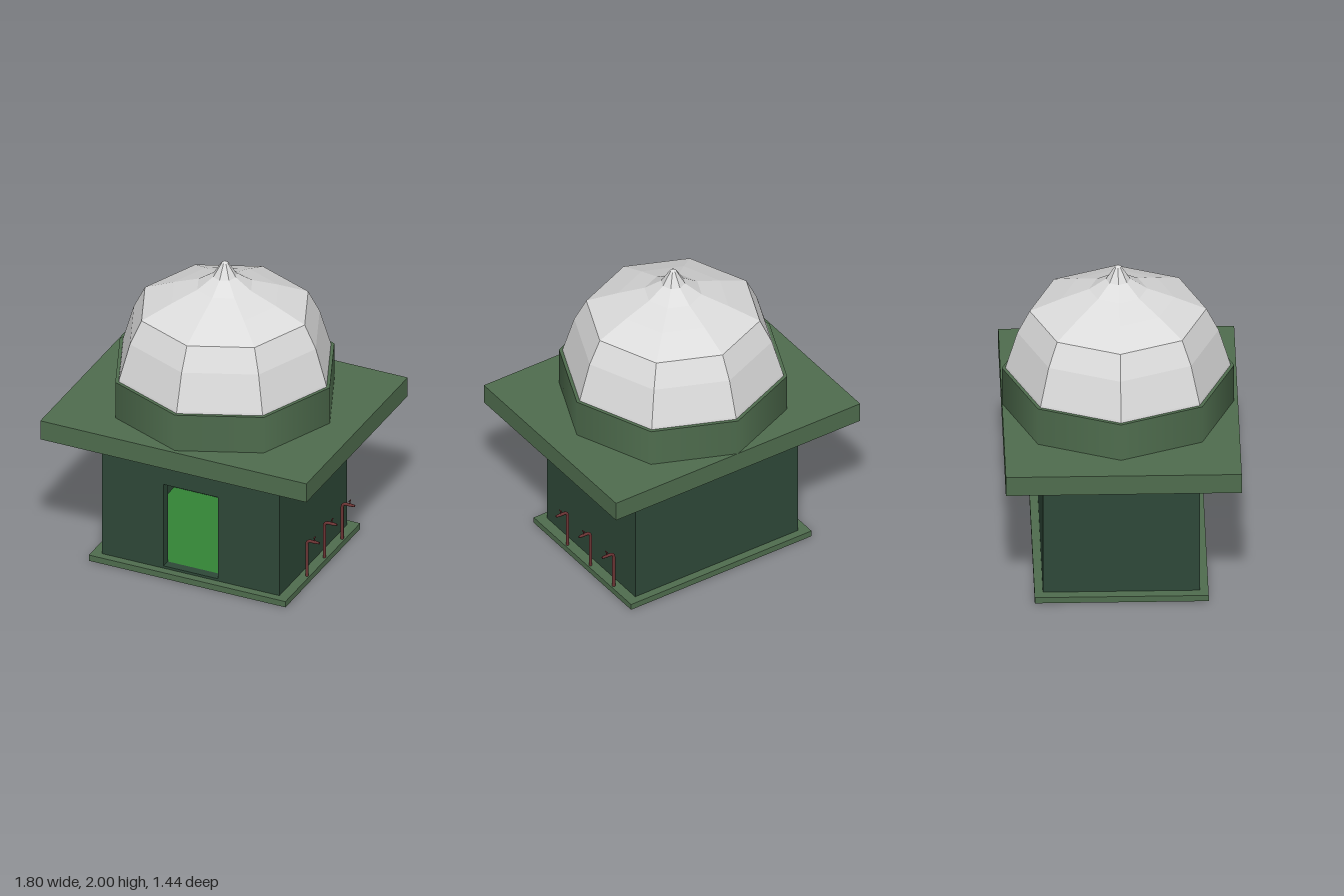
import * as THREE from 'three';

function material(name, color) {
  const m = new THREE.MeshStandardMaterial({ color });
  m.name = name;
  return m;
}

export function createModel() {
  const model = new THREE.Group();
  model.name = 'domedPumpHouse';

  const trim = material('mossGreen', 0x4f6d4e);
  const wall = material('darkGreen', 0x2e4838);
  const floorGreen = material('brightGreen', 0x338436);
  const white = material('domeWhite', 0xdcdcdc);
  white.flatShading = true;
  const rust = material('rustRed', 0x6b3434);

  const add = (parent, name, geometry, mat, x = 0, y = 0, z = 0) => {
    const mesh = new THREE.Mesh(geometry, mat);
    mesh.name = name;
    mesh.position.set(x, y, z);
    parent.add(mesh);
    return mesh;
  };
  // box given by its minimum and maximum corners
  const box = (parent, name, mat, [x0, y0, z0], [x1, y1, z1]) =>
    add(parent, name, new THREE.BoxGeometry(x1 - x0, y1 - y0, z1 - z0), mat,
      (x0 + x1) / 2, (y0 + y1) / 2, (z0 + z1) / 2);

  // plinth and roof slab
  box(model, 'plinth', trim, [-0.665, 0, -0.537], [0.665, 0.04, 0.526]);
  box(model, 'roofSlab', trim, [-0.9, 0.9, -0.72], [0.9, 1.03, 0.722]);

  // hollow room with an open doorway in the front wall
  const room = new THREE.Group();
  room.name = 'room';
  model.add(room);
  const t = 0.06, front = 0.475, back = -0.486;
  const face = new THREE.Shape([[-0.6, 0.04], [0.6, 0.04], [0.6, 0.9], [-0.6, 0.9]]
    .map(p => new THREE.Vector2(...p)));
  face.holes.push(new THREE.Path([[-0.183, 0.056], [-0.183, 0.63], [0.183, 0.63], [0.183, 0.056]]
    .map(p => new THREE.Vector2(...p))));
  add(room, 'frontWall', new THREE.ExtrudeGeometry(face, { depth: t, bevelEnabled: false }),
    wall, 0, 0, front - t);
  box(room, 'backWall', wall, [-0.6, 0.04, back], [0.6, 0.9, back + t]);
  box(room, 'rightWall', wall, [-0.6, 0.04, back + t], [-0.6 + t, 0.9, front - t]);
  box(room, 'leftWall', wall, [0.6 - t, 0.04, back + t], [0.6, 0.9, front - t]);
  box(room, 'floor', floorGreen, [-0.6 + t, 0.04, back + t], [0.6 - t, 0.054, front - t]);

  // octagonal drum and the dome on it
  const domeZ = -0.011;
  add(model, 'drum', new THREE.CylinderGeometry(0.71, 0.71, 0.26, 8), trim, 0, 1.15, domeZ);
  const profile = [[0.688, 1.28], [0.685, 1.295], [0.615, 1.53], [0.54, 1.68], [0.345, 1.765],
    [0.178, 1.83], [0.075, 1.9], [0.02, 1.988], [0, 2]].map(p => new THREE.Vector2(...p));
  add(model, 'dome', new THREE.LatheGeometry(profile, 8), white, 0, 0, domeZ);

  // three standpipes with taps along the side
  const path = new THREE.CurvePath();
  const v = (x, y) => new THREE.Vector3(x, y, 0);
  path.add(new THREE.LineCurve3(v(0, 0.04), v(0, 0.26)));
  path.add(new THREE.QuadraticBezierCurve3(v(0, 0.26), v(0, 0.29), v(0.03, 0.29)));
  path.add(new THREE.LineCurve3(v(0.03, 0.29), v(0.06, 0.29)));
  const pipe = new THREE.TubeGeometry(path, 32, 0.01, 8, false);
  for (const z of [0.183, -0.066, -0.32]) {
    const tap = new THREE.Group();
    tap.name = 'standpipe';
    tap.position.set(0.647, 0, z);
    model.add(tap);
    add(tap, 'pipe', pipe, rust);
    add(tap, 'spout', new THREE.CylinderGeometry(0.007, 0.01, 0.03, 8), rust, 0.07, 0.29, 0)
      .rotation.z = -Math.PI / 2;
    add(tap, 'valveStem', new THREE.CylinderGeometry(0.003, 0.003, 0.03, 6), rust, 0.052, 0.308, 0);
    add(tap, 'valveHandle', new THREE.BoxGeometry(0.006, 0.006, 0.024), rust, 0.052, 0.32, 0);
  }
  return model;
}
